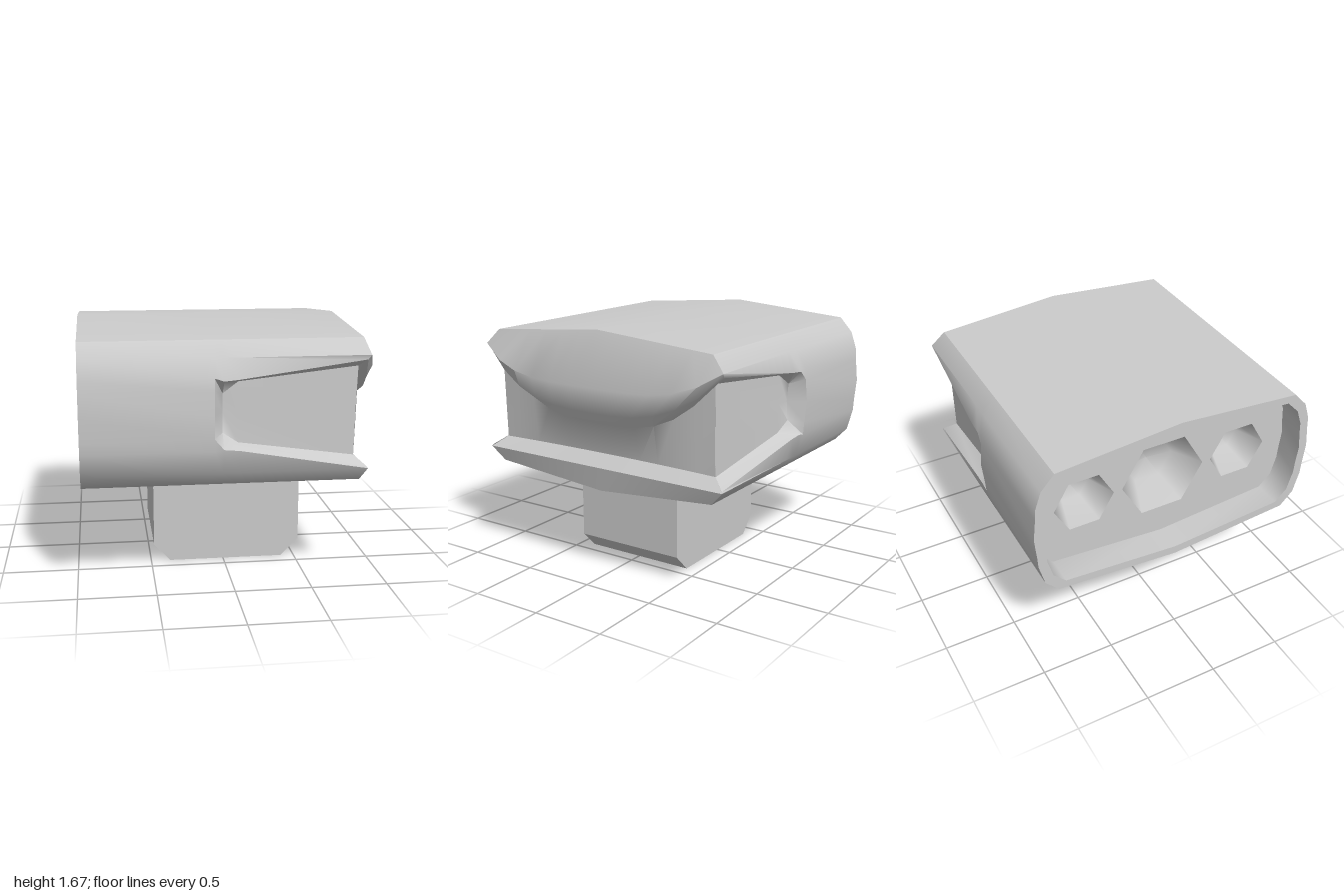
import * as THREE from 'three';
import { toCreasedNormals } from 'three/addons/utils/BufferGeometryUtils.js';

const material = new THREE.MeshStandardMaterial({ color: 0xcccccc, side: THREE.DoubleSide });

// Skin a list of rows of [x, y, z] points
function skin(rows, closed = false) {
  const n = rows[0].length, index = [];
  for (let i = 0; i < rows.length - 1; i++) {
    for (let j = 0; j < (closed ? n : n - 1); j++) {
      const k = (j + 1) % n;
      const a = i * n + j, b = i * n + k, c = b + n, d = a + n;
      index.push(a, b, c, a, c, d);
    }
  }
  const geometry = new THREE.BufferGeometry();
  geometry.setAttribute('position', new THREE.Float32BufferAttribute(rows.flat(2), 3));
  geometry.setIndex(index);
  return toCreasedNormals(geometry, 0.75);
}

// Mirror a half section (top centre to bottom centre) into a full ring
function ring(half) {
  const other = half.slice(1, -1).reverse().map(([x, y, z]) => [x, y, -z]);
  return [...half, ...other];
}

// Half section at x: outer shell plus the four points that bound the side recess
function section(x, upperLip, upperFloor, middle, lowerFloor, lowerLip) {
  return ring([
    [1.67, 0], [1.6, 0.85], [1.5, 0.94],
    upperLip, upperFloor, middle, lowerFloor, lowerLip,
    [0.77, 0.94], [0.675, 0.85], [0.605, 0],
  ].map(([y, z]) => [x, y, z]));
}

export function createModel() {
  const model = new THREE.Group();
  const add = (name, geometry) => {
    const mesh = new THREE.Mesh(geometry, material);
    mesh.name = name;
    model.add(mesh);
    return mesh;
  };

  // Housing shell with a recess in each side
  const plain = [[1.38, 0.98], [1.3, 0.985], [1.15, 1], [1.0, 0.985], [0.92, 0.98]];
  const end = ring([
    [0.83, 1.67, 0], [0.83, 1.6, 0.85], [0.86, 1.5, 0.94], [0.84, 1.47, 0.93],
    [0.8, 1.42, 0.85], [0.79, 1.15, 0.85], [0.785, 0.84, 0.85], [0.855, 0.78, 0.935],
    [0.86, 0.77, 0.94], [0.83, 0.675, 0.85], [0.83, 0.605, 0],
  ]);
  add('housing', skin([
    section(-0.96, ...plain),
    section(-0.13, ...plain),
    section(-0.07, [1.36, 0.98], [1.27, 0.89], [1.15, 0.88], [1.02, 0.89], [0.93, 0.98]),
    section(0.03, [1.37, 0.98], [1.34, 0.87], [1.15, 0.87], [0.95, 0.87], [0.92, 0.975]),
    end,
  ], true));

  // End face: bowed visor lip over a shallow recess and a lower lip
  // each row: x centre, x side, y centre, y side, half width, bow exponent
  const levels = [
    [0.83, 0.83, 1.67, 1.6, 0.85, 1],
    [0.955, 0.86, 1.32, 1.5, 0.94, 4],
    [0.925, 0.84, 1.15, 1.47, 0.93, 3],
    [0.835, 0.8, 1.06, 1.42, 0.85, 3],
    [0.785, 0.785, 0.85, 0.84, 0.85, 2],
    [0.86, 0.86, 0.77, 0.77, 0.94, 2],
    [0.83, 0.83, 0.605, 0.675, 0.85, 1],
  ];
  const columns = 12;
  add('visorEnd', skin(levels.map(([xc, xs, yc, ys, w, p]) =>
    Array.from({ length: columns + 1 }, (_, j) => {
      const s = (2 * j) / columns - 1, t = Math.abs(s) ** p;
      return [xc + (xs - xc) * t, yc + (ys - yc) * t, s * w];
    }))));

  // Open end: rim, inner wall and a sunken panel with three sockets
  const outer = section(-0.96, ...plain).map(([, y, z]) => new THREE.Vector2(z, y));
  const inner = outer.map((p) => new THREE.Vector2(p.x * 0.94, 1.14 + (p.y - 1.14) * 0.89));
  const panelX = -0.77;
  const faceLeft = (shape, x) =>
    new THREE.ShapeGeometry(shape).rotateY(-Math.PI / 2).translate(x, 0, 0);

  const rim = new THREE.Shape(outer);
  rim.holes.push(new THREE.Path(inner));
  add('rim', faceLeft(rim, -0.96));
  add('innerWall', skin([panelX, -0.96].map((x) => inner.map((p) => [x, p.y, p.x])), true));

  const panel = new THREE.Shape(inner);
  for (const [z, r] of [[-0.57, 0.21], [0, 0.3], [0.57, 0.21]]) {
    const corners = Array.from({ length: 6 }, (_, i) => new THREE.Vector2(
      z + r * Math.cos(i * Math.PI / 3), 1.13 + r * Math.sin(i * Math.PI / 3)));
    panel.holes.push(new THREE.Path(corners));
    const profile = [[0, -0.22], [r * 0.6, -0.2], [r, 0]].map(([a, b]) => new THREE.Vector2(a, b));
    const socket = add('socket', new THREE.LatheGeometry(profile, 6).rotateZ(Math.PI / 2));
    socket.position.set(panelX, 1.13, z);
  }
  add('socketPanel', faceLeft(panel, panelX));

  // Mounting post with chamfered lower edges
  const post = new THREE.Shape([
    [-0.48, 0.64], [-0.48, 0.12], [-0.37, 0], [0.41, 0], [0.53, 0.12], [0.53, 0.64],
  ].map(([x, y]) => new THREE.Vector2(x, y)));
  add('post', new THREE.ExtrudeGeometry(post, { depth: 0.8, bevelEnabled: false }).translate(0, 0, -0.4));

  return model;
}
